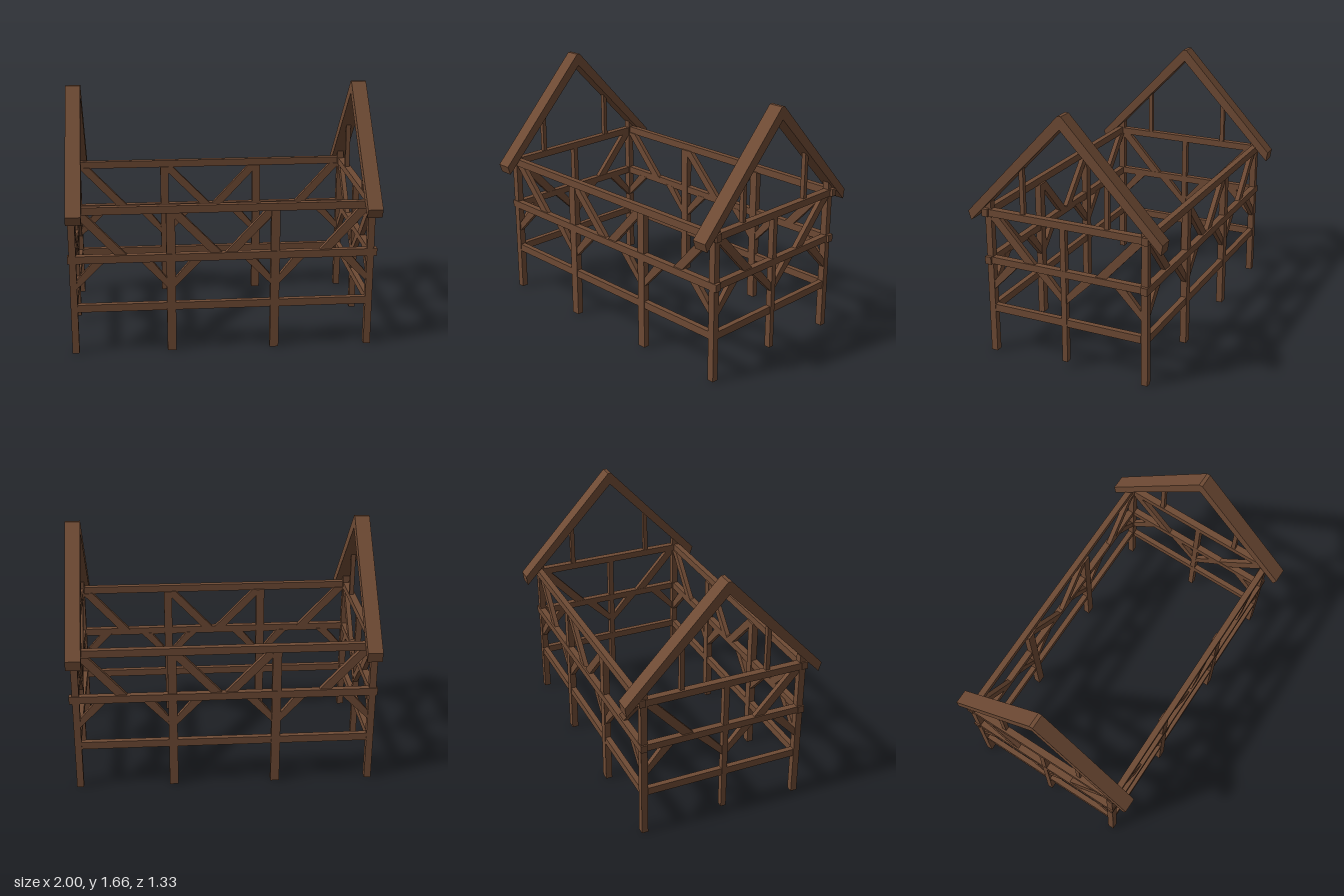
import * as THREE from 'three';

const wood = new THREE.MeshStandardMaterial({ color: 0x6e4a34 });
wood.name = 'brown timber';

// box given by its lower and upper limits on each axis
function beam(parent, name, [x0, x1], [y0, y1], [z0, z1]) {
  const mesh = new THREE.Mesh(new THREE.BoxGeometry(x1 - x0, y1 - y0, z1 - z0), wood);
  mesh.position.set((x0 + x1) / 2, (y0 + y1) / 2, (z0 + z1) / 2);
  mesh.name = name;
  parent.add(mesh);
}

// flat outline cut to a thickness: along a side wall (points are x, y) or an end wall (points are z, y)
function cutTimber(parent, name, points, onEnd, centre, depth) {
  const shape = new THREE.Shape(points.map(p => new THREE.Vector2(...p)));
  const geo = new THREE.ExtrudeGeometry(shape, { depth, bevelEnabled: false });
  geo.translate(0, 0, -depth / 2);
  if (onEnd) geo.rotateY(-Math.PI / 2);
  const mesh = new THREE.Mesh(geo, wood);
  mesh.position.set(onEnd ? centre : 0, 0, onEnd ? 0 : centre);
  mesh.name = name;
  parent.add(mesh);
}

// braces with ends cut flush to the rails and posts
const upperBrace = (u0, u1) =>
  [[u0 - 0.037, 0.95], [u1 - 0.037, 0.66], [u1 + 0.037, 0.66], [u0 + 0.037, 0.95]];
function lowerBrace(post, rail) {
  const s = Math.sign(rail - post), p = post - s * 0.01;
  return [[p, 0.435], [p, 0.492], [rail - s * 0.033, 0.63], [rail + s * 0.043, 0.63]];
}

export function createModel() {
  const house = new THREE.Group();
  house.name = 'timberFrame';

  // long walls, front and back
  for (const side of [1, -1]) {
    const wall = new THREE.Group();
    wall.name = side > 0 ? 'frontWall' : 'backWall';
    house.add(wall);
    const shift = side > 0 ? 0 : -0.007;
    const span = (inner, outer) => side > 0 ? [inner, outer] : [-outer + shift, -inner + shift];
    const depth = span(0.512, 0.555);

    for (const x of [[-0.99, -0.945], [0.93, 0.975]]) beam(wall, 'cornerPost', x, [0, 1.04], depth);
    for (const x of [[-0.37, -0.312], [0.303, 0.36]]) beam(wall, 'middlePost', x, [0, 0.95], depth);
    beam(wall, 'topPlate', [-1, 1], [0.945, 0.995], span(0.525, 0.565));
    beam(wall, 'middleRail', [-1, 0.995], [0.62, 0.67], span(0.518, 0.56));
    beam(wall, 'lowerRail', [-0.945, 0.93], [0.285, 0.335], span(0.516, 0.552));

    const z = side * 0.532 + shift;
    for (const [a, b] of [[-0.92, -0.65], [-0.32, -0.04], [0.31, 0.04], [0.91, 0.65]])
      cutTimber(wall, 'upperBrace', upperBrace(a, b), false, z, 0.032);
    for (const [a, b] of [[-0.945, -0.8], [-0.37, -0.5], [-0.312, -0.175],
      [0.303, 0.165], [0.36, 0.49], [0.93, 0.79]])
      cutTimber(wall, 'lowerBrace', lowerBrace(a, b), false, z, 0.032);
  }

  // end walls and their gables
  for (const side of [1, -1]) {
    const wall = new THREE.Group();
    wall.name = side > 0 ? 'leftEndWall' : 'rightEndWall';
    house.add(wall);
    const shift = side > 0 ? 0 : -0.012;
    const span = (inner, outer) => side > 0 ? [inner, outer] : [-outer + shift, -inner + shift];

    beam(wall, 'endPost', span(0.938, 0.979), [0.04, 0.96], [-0.01, 0.026]);
    beam(wall, 'tieBeam', span(0.936, 0.982), [0.943, 0.99], [-0.568, 0.568]);
    beam(wall, 'middleRail', span(0.937, 0.98), [0.622, 0.668], [-0.557, 0.553]);
    beam(wall, 'lowerRail', span(0.937, 0.973), [0.285, 0.335], [-0.515, 0.512]);

    const x = side * 0.955 + shift;
    for (const [a, b] of [[0.505, 0.24], [-0.505, -0.24]])
      cutTimber(wall, 'upperBrace', upperBrace(a, b), true, x, 0.032);
    for (const [a, b] of [[0.51, 0.374], [0.026, 0.17], [-0.01, -0.155], [-0.513, -0.374]])
      cutTimber(wall, 'lowerBrace', lowerBrace(a, b), true, x, 0.032);

    for (const z of [[0.276, 0.305], [-0.302, -0.273]])
      beam(wall, 'gableStud', span(0.938, 0.968), [0.985, 1.3], z);

    // pair of rafters meeting at a small flat ridge
    cutTimber(wall, 'rafters', [
      [0.665, 0.965], [0.012, 1.66], [-0.012, 1.66], [-0.665, 0.965],
      [-0.655, 0.9], [0, 1.578], [0.645, 0.907],
    ], true, side * 0.949, 0.098);
  }
  return house;
}
